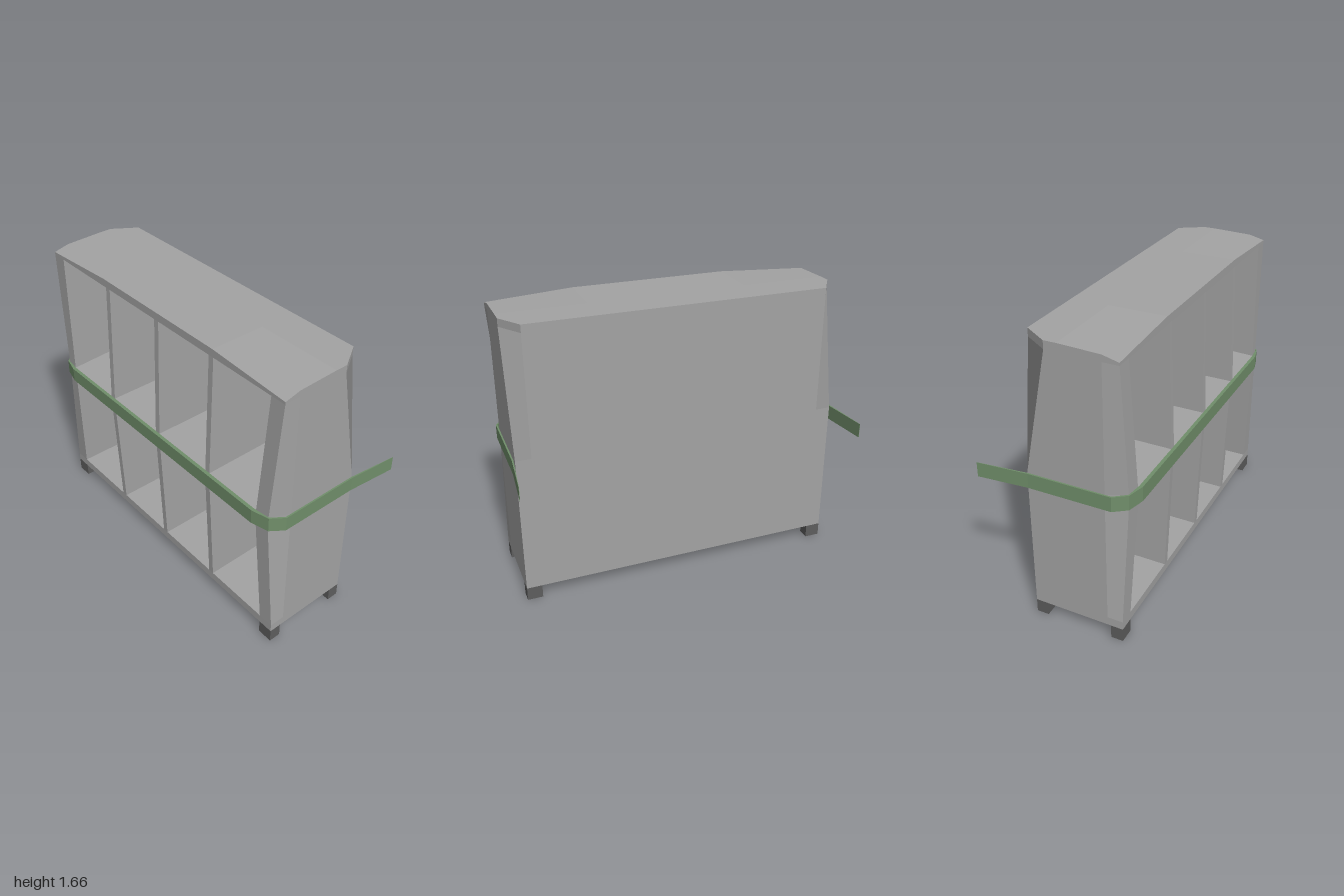
import * as THREE from 'three';

const material = (color) => new THREE.MeshStandardMaterial({ color });

// One normal per polygon, so slightly warped panels shade evenly.
function polygonNormal(poly) {
  const normal = new THREE.Vector3(), origin = new THREE.Vector3(...poly[0]);
  for (let i = 1; i < poly.length - 1; i++) {
    const a = new THREE.Vector3(...poly[i]).sub(origin);
    const b = new THREE.Vector3(...poly[i + 1]).sub(origin);
    normal.add(a.cross(b));
  }
  return normal.normalize().toArray();
}

// Polygons given for the +x half are fanned into triangles and mirrored to -x.
function mirroredGeometry(polygons) {
  const positions = [], normals = [];
  const flip = ([x, y, z]) => [-x, y, z];
  const push = (normal, ...points) => points.forEach((p) => {
    positions.push(...p);
    normals.push(...normal);
  });
  for (const poly of polygons) {
    const normal = polygonNormal(poly);
    for (let i = 1; i < poly.length - 1; i++) {
      push(normal, poly[0], poly[i], poly[i + 1]);
      push(flip(normal), flip(poly[0]), flip(poly[i + 1]), flip(poly[i]));
    }
  }
  const geometry = new THREE.BufferGeometry();
  geometry.setAttribute('position', new THREE.Float32BufferAttribute(positions, 3));
  geometry.setAttribute('normal', new THREE.Float32BufferAttribute(normals, 3));
  return geometry;
}

const BACK = -0.15, INNER_BACK = -0.12, FRONT = 0.38, BULGE = 0.405;
const SIDE = 0.96, INNER = 0.87, PINCH = 0.83, SEAM = 0.29, SAG = 0.06;
const FLOOR = 0.13, CEILING = 1.62, BASE = 0.08, TOP = 1.665;
const SHELF_LOW = 0.83, SHELF_HIGH = 0.91, STRAP_HIGH = 0.915;

// One horizontal section, from the opening edge round the side to the back centre.
function section(y, waist, cut) {
  return [
    waist ? [PINCH, y, BULGE] : [INNER, y, FRONT],
    waist ? [0.91, y, 0.395] : [SIDE, y, FRONT],
    [SIDE, y, SEAM],
    [SIDE, y, SAG],
    [SIDE, y, cut === 'full' ? -0.01 : BACK],
    [cut ? INNER : SIDE, y, BACK],
    [0, y, BACK],
  ];
}

function cabinetShell() {
  const polygons = [];
  const rim = section(TOP, false, 'full');
  rim[0][1] = 1.64; // front corners of the top sag a little
  rim[1][1] = 1.635;
  rim[2][1] = 1.657;
  const rings = [
    section(BASE), section(FLOOR), section(SHELF_LOW, true), section(SHELF_HIGH, true),
    section(SHELF_HIGH, true, 'ledge'), section(CEILING, false, 'full'), rim,
  ];
  // outer skin, with the cut-away upper back corners
  for (let r = 0; r < rings.length - 1; r++) {
    const lo = rings[r], hi = rings[r + 1];
    if (lo[0][1] === hi[0][1]) continue;
    for (let i = 0; i < lo.length - 1; i++) {
      polygons.push([lo[i], lo[i + 1], hi[i + 1], hi[i]]);
    }
  }
  // top, sagging corner, underside
  polygons.push(
    [[0, TOP, BACK], [0, TOP, FRONT], [0.46, TOP, FRONT], [0.46, TOP, SAG], [INNER, TOP, BACK]],
    [[0.46, TOP, SAG], [SIDE, TOP, SAG], [SIDE, TOP, -0.01], [INNER, TOP, BACK]],
    [[0.46, TOP, FRONT], rim[1], rim[2], rim[3], [0.46, TOP, SAG]],
    [[0, BASE, BACK], [SIDE, BASE, BACK], [SIDE, BASE, FRONT], [0, BASE, FRONT]],
  );
  // front rails below and above the openings
  polygons.push(
    [[0, BASE, FRONT], [INNER, BASE, FRONT], [INNER, FLOOR, FRONT], [0, FLOOR, FRONT]],
    [[0, CEILING, FRONT], [INNER, CEILING, FRONT], rim[0], [0.46, TOP, FRONT], [0, TOP, FRONT]],
  );
  // inner side walls
  const edges = [rings[1][0], rings[2][0], rings[3][0], rings[5][0]];
  for (let i = 0; i < 3; i++) {
    const a = edges[i], b = edges[i + 1];
    polygons.push([a, b, [INNER, b[1], INNER_BACK], [INNER, a[1], INNER_BACK]]);
  }
  // inner back, floor and ceiling
  polygons.push(
    [[0, FLOOR, INNER_BACK], [INNER, FLOOR, INNER_BACK], [INNER, CEILING, INNER_BACK], [0, CEILING, INNER_BACK]],
    [[0, FLOOR, FRONT], [INNER, FLOOR, FRONT], [INNER, FLOOR, INNER_BACK], [0, FLOOR, INNER_BACK]],
    [[0, CEILING, INNER_BACK], [INNER, CEILING, INNER_BACK], [INNER, CEILING, FRONT], [0, CEILING, FRONT]],
  );
  return mirroredGeometry(polygons);
}

function shelfGeometry() {
  const at = (y) => [[0, y, BULGE], [PINCH, y, BULGE], [INNER, y, INNER_BACK], [0, y, INNER_BACK]];
  const lo = at(SHELF_LOW), hi = at(SHELF_HIGH);
  return mirroredGeometry([hi, [...lo].reverse(), [lo[0], lo[1], hi[1], hi[0]]]);
}

function dividerGeometry(width) {
  const profile = new THREE.Shape([
    [INNER_BACK, FLOOR], [FRONT, FLOOR], [BULGE, SHELF_LOW],
    [BULGE, SHELF_HIGH], [FRONT, CEILING], [INNER_BACK, CEILING],
  ].map(([z, y]) => new THREE.Vector2(z, y)));
  return new THREE.ExtrudeGeometry(profile, { depth: width, bevelEnabled: false })
    .translate(0, 0, -width / 2)
    .rotateY(-Math.PI / 2);
}

function strapGeometry() {
  const outer = [[1, -0.43], [0.975, -0.14], [0.972, 0.33], [0.92, 0.402], [0.82, 0.428]];
  const inner = [[0.998, -0.43], [0.966, -0.14], [0.963, 0.33], [0.912, 0.396], [0.82, 0.408]];
  const mirror = (points) => points.map(([x, z]) => [-x, z]);
  const outline = [...outer, ...mirror(outer).reverse(), ...mirror(inner), ...[...inner].reverse()];
  const shape = new THREE.Shape(outline.map(([x, z]) => new THREE.Vector2(x, -z)));
  return new THREE.ExtrudeGeometry(shape, { depth: STRAP_HIGH - SHELF_LOW, bevelEnabled: false })
    .rotateX(-Math.PI / 2)
    .translate(0, SHELF_LOW, 0);
}

export function createModel() {
  const model = new THREE.Group();
  model.name = 'shelfCabinet';
  const grey = material(0xa4a4a4);
  const dark = material(0x5e5e5e);
  const green = material(0x718f6b);

  const add = (name, geometry, mat) => {
    const mesh = new THREE.Mesh(geometry, mat);
    mesh.name = name;
    model.add(mesh);
    return mesh;
  };

  add('cabinet', cabinetShell(), grey);
  add('shelf', shelfGeometry(), grey);

  // upright dividers
  const divider = dividerGeometry(0.034);
  for (const x of [-0.42, 0.015, 0.45]) add('divider', divider, grey).position.x = x;

  // feet
  const foot = new THREE.BoxGeometry(0.09, BASE, 0.07);
  for (const x of [-0.915, 0.915]) {
    for (const z of [-0.115, 0.345]) add('foot', foot, dark).position.set(x, BASE / 2, z);
  }

  // band round the front with loose ends behind
  add('strap', strapGeometry(), green);
  return model;
}
